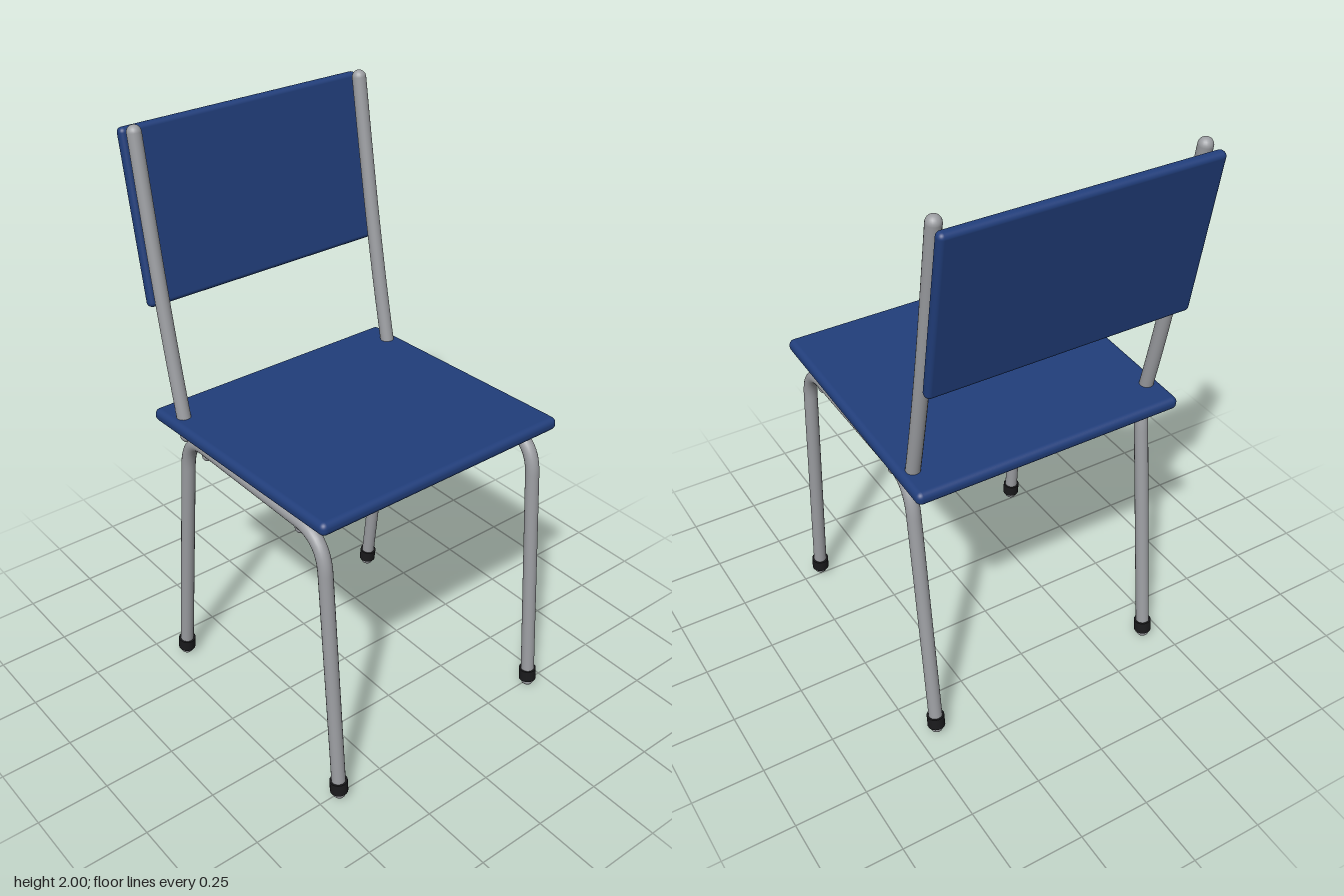
import * as THREE from 'three';
import { RoundedBoxGeometry } from 'three/addons/geometries/RoundedBoxGeometry.js';

const TUBE_R = 0.0235;
const SIDE_X = 0.43;

export function createModel() {
  const chair = new THREE.Group();
  chair.name = 'chair';

  const paint = (name, color) => {
    const m = new THREE.MeshStandardMaterial({ color });
    m.name = name;
    return m;
  };
  const blue = paint('blue panel', 0x213e7b);
  const steel = paint('grey steel', 0x9c9ea2);
  const rubber = paint('black rubber', 0x1a1a1c);

  const add = (parent, name, geometry, material) => {
    const mesh = new THREE.Mesh(geometry, material);
    mesh.name = name;
    parent.add(mesh);
    return mesh;
  };
  const P = (z, y) => new THREE.Vector3(0, y, z);

  // Tube along a path of [z, y] curves, with a ball closing each end
  const tube = (parent, name, curve, segments) => {
    add(parent, name, new THREE.TubeGeometry(curve, segments, TUBE_R, 20), steel);
    for (const t of [0, 1]) {
      add(parent, name + 'End', new THREE.SphereGeometry(TUBE_R, 20, 14), steel)
        .position.copy(curve.getPoint(t));
    }
  };

  // Rubber sleeve around the bottom of a leg
  const foot = (parent, name, bottom, top) => {
    const dir = top.clone().sub(bottom).normalize();
    const mesh = add(parent, name, new THREE.CylinderGeometry(0.03, 0.03, 0.044, 20), rubber);
    mesh.position.copy(bottom).addScaledVector(dir, 0.027);
    mesh.quaternion.setFromUnitVectors(new THREE.Vector3(0, 1, 0), dir);
  };

  for (const side of [1, -1]) {
    const frame = new THREE.Group();
    frame.name = side > 0 ? 'leftFrame' : 'rightFrame';
    frame.position.x = side * SIDE_X;
    chair.add(frame);

    // Front leg, seat rail and rear leg bent from one tube
    const frontFoot = P(0.511, 0.026), frontBend = P(0.449, 0.88);
    const rearFoot = P(-0.395, 0.026), rearBend = P(-0.29, 0.88);
    const legs = new THREE.CurvePath();
    legs.add(new THREE.LineCurve3(frontFoot, frontBend));
    legs.add(new THREE.QuadraticBezierCurve3(frontBend, P(0.44, 1.005), P(0.32, 1.005)));
    legs.add(new THREE.LineCurve3(P(0.32, 1.005), P(-0.18, 1.005)));
    legs.add(new THREE.QuadraticBezierCurve3(P(-0.18, 1.005), P(-0.275, 1.005), rearBend));
    legs.add(new THREE.LineCurve3(rearBend, rearFoot));
    tube(frame, 'legTube', legs, 140);
    foot(frame, 'frontFoot', frontFoot, frontBend);
    foot(frame, 'rearFoot', rearFoot, rearBend);

    // Slightly curved post carrying the backrest
    const post = new THREE.CatmullRomCurve3([
      P(-0.283, 1.003), P(-0.336, 1.25), P(-0.384, 1.5), P(-0.425, 1.74), P(-0.463, 1.976),
    ]);
    tube(frame, 'backPost', post, 32);
  }

  // Cross bars under the seat
  for (const [name, z] of [['frontCrossBar', 0.33], ['rearCrossBar', -0.167]]) {
    const bar = add(chair, name, new THREE.CapsuleGeometry(0.0175, 2 * SIDE_X, 8, 16), steel);
    bar.rotation.z = Math.PI / 2;
    bar.position.set(0, 0.982, z);
  }

  // Seat, tilted up at the front
  const seat = add(chair, 'seat', new RoundedBoxGeometry(0.952, 0.045, 0.91, 4, 0.02), blue);
  seat.position.set(0, 1.058, 0.043);
  seat.rotation.x = -0.04;

  // Backrest behind the posts
  const back = add(chair, 'backrest', new RoundedBoxGeometry(0.908, 0.57, 0.036, 4, 0.016), blue);
  back.position.set(0, 1.698, -0.472);
  back.rotation.x = -0.17;

  return chair;
}
